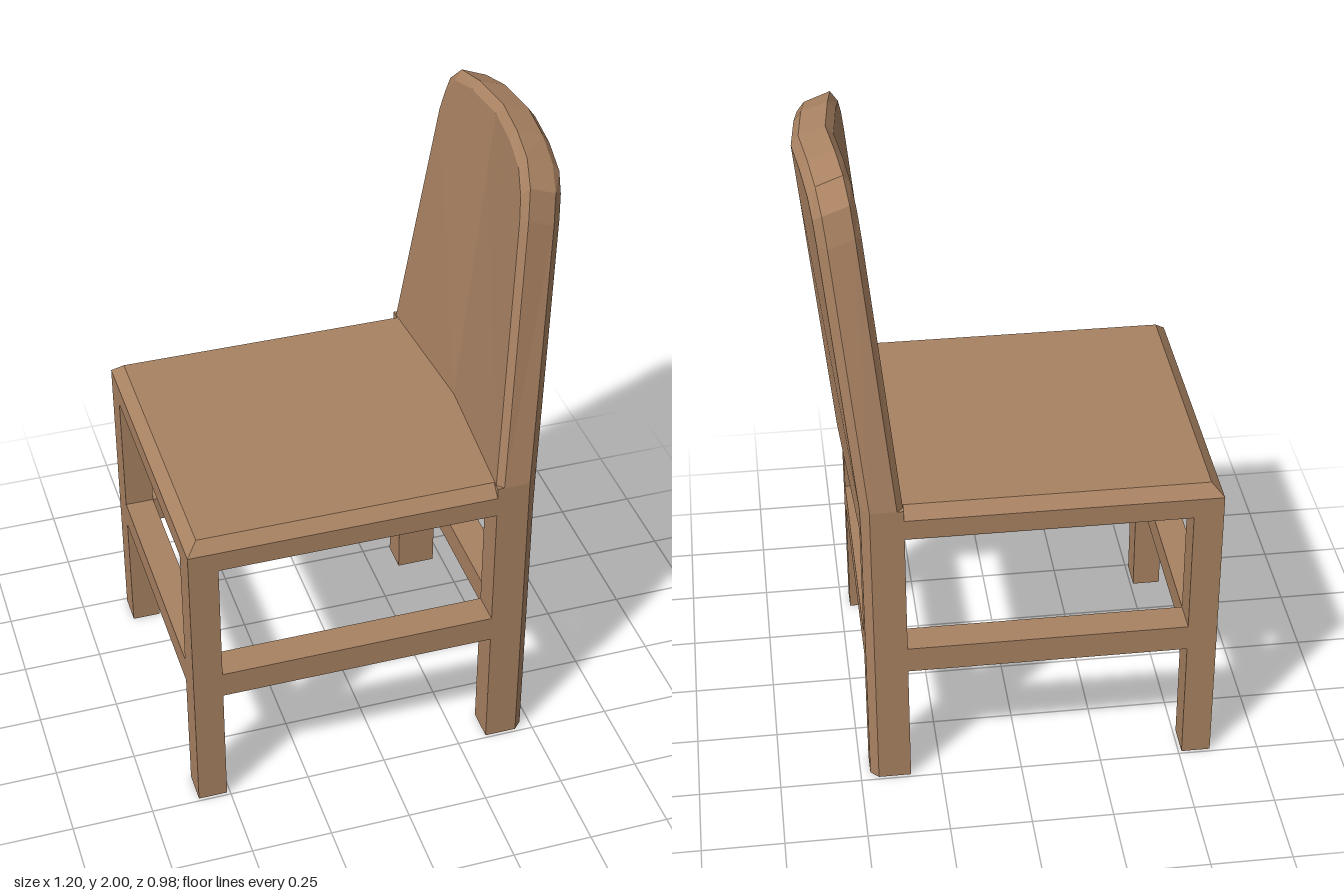
import * as THREE from 'three';
import { ConvexGeometry } from 'three/addons/geometries/ConvexGeometry.js';

const wood = new THREE.MeshStandardMaterial({ color: 0xa98262, flatShading: true });

function addMesh(parent, geometry, name) {
  const mesh = new THREE.Mesh(geometry, wood);
  mesh.name = name;
  parent.add(mesh);
  return mesh;
}

// Box given by its minimum and maximum corners
function addBox(parent, name, [x0, y0, z0], [x1, y1, z1]) {
  const mesh = addMesh(parent, new THREE.BoxGeometry(x1 - x0, y1 - y0, z1 - z0), name);
  mesh.position.set((x0 + x1) / 2, (y0 + y1) / 2, (z0 + z1) / 2);
}

// Seat slab with bevelled front and side top edges
function seatGeometry() {
  const points = [];
  for (const s of [-1, 1]) {
    for (const [y, inset] of [[0.9, 0], [0.965, 0], [1, 0.035]]) {
      points.push(new THREE.Vector3(-0.6 + inset, y, s * (0.49 - inset)));
      points.push(new THREE.Vector3(0.44, y, s * (0.49 - inset)));
    }
  }
  return new ConvexGeometry(points);
}

// Rear post, bevelled on its outer back corner
function rearLegGeometry(s) {
  const section = [[0.345, 0.39], [0.47, 0.39], [0.47, 0.465], [0.445, 0.49], [0.345, 0.49]];
  return new ConvexGeometry(section.flatMap(([x, z]) =>
    [0, 1].map((y) => new THREE.Vector3(x, y, s * z))));
}

// Leaning backrest, folded along its centre line, lofted through four outlines
function backrestGeometry() {
  // Each layer: depth from the front, then (half width, height) up one side
  const layers = [
    { depth: 0, side: [[0.47, 0.9], [0.47, 1], [0.34, 1.82], [0.317, 1.89], [0.265, 1.95], [0.155, 1.975]] },
    { depth: 0.02, side: [[0.49, 0.9], [0.49, 1], [0.36, 1.83], [0.335, 1.92], [0.27, 1.98], [0.155, 2]] },
    { depth: 0.1, side: [[0.49, 0.9], [0.49, 1], [0.36, 1.8], [0.335, 1.89], [0.27, 1.95], [0.155, 1.975]] },
    { depth: 0.125, side: [[0.465, 0.9], [0.465, 1], [0.33, 1.8], [0.31, 1.87], [0.27, 1.92], [0.155, 1.945]] },
  ];
  const point = (depth, z, y) => {
    const rise = Math.max(y - 1, 0);
    const halfWidth = 0.49 - 0.157 * rise;
    const fold = y < 1 ? 0 : 0.035 * (1 - Math.abs(z) / halfWidth);
    return [0.345 + depth + 0.1 * rise + fold, y, z];
  };
  const positions = [];
  const quad = (a, b, c, d) => positions.push(...a, ...b, ...c, ...a, ...c, ...d);

  // Rim bands between neighbouring outlines
  const rings = layers.map(({ depth, side }) => [
    ...side.map(([z, y]) => point(depth, z, y)),
    point(depth, 0, side[side.length - 1][1]),
    ...[...side].reverse().map(([z, y]) => point(depth, -z, y)),
  ]);
  for (let k = 0; k < 3; k++) {
    const n = rings[k].length;
    for (let i = 0; i < n; i++) {
      const j = (i + 1) % n;
      quad(rings[k][i], rings[k + 1][i], rings[k + 1][j], rings[k][j]);
    }
  }

  // Front and rear faces, row by row on both sides of the fold
  for (const { depth, side } of [layers[0], layers[3]]) {
    for (let r = 0; r < side.length - 1; r++) {
      const [z0, y0] = side[r], [z1, y1] = side[r + 1];
      for (const s of [-1, 1]) {
        const corners = [
          point(depth, s < 0 ? -z0 : 0, y0), point(depth, s < 0 ? -z1 : 0, y1),
          point(depth, s < 0 ? 0 : z1, y1), point(depth, s < 0 ? 0 : z0, y0),
        ];
        if (depth === 0) corners.reverse();
        quad(...corners);
      }
    }
  }
  const geometry = new THREE.BufferGeometry();
  geometry.setAttribute('position', new THREE.Float32BufferAttribute(positions, 3));
  geometry.computeVertexNormals();
  return geometry;
}

export function createModel() {
  const chair = new THREE.Group();
  chair.name = 'chair';

  addMesh(chair, seatGeometry(), 'seat');
  addMesh(chair, backrestGeometry(), 'backrest');

  // Legs and side stretchers, mirrored across z
  for (const s of [-1, 1]) {
    const z0 = s < 0 ? -0.49 : 0.39, z1 = z0 + 0.1;
    addBox(chair, 'frontLeg', [-0.6, 0, z0], [-0.51, 0.9, z1]);
    addMesh(chair, rearLegGeometry(s), 'rearLeg');
    addBox(chair, 'sideStretcher', [-0.51, 0.41, z0], [0.345, 0.495, z1]);
  }

  // Cross stretchers between the leg pairs
  addBox(chair, 'frontStretcher', [-0.6, 0.41, -0.39], [-0.51, 0.495, 0.39]);
  addBox(chair, 'rearStretcher', [0.375, 0.41, -0.39], [0.47, 0.495, 0.39]);

  return chair;
}
